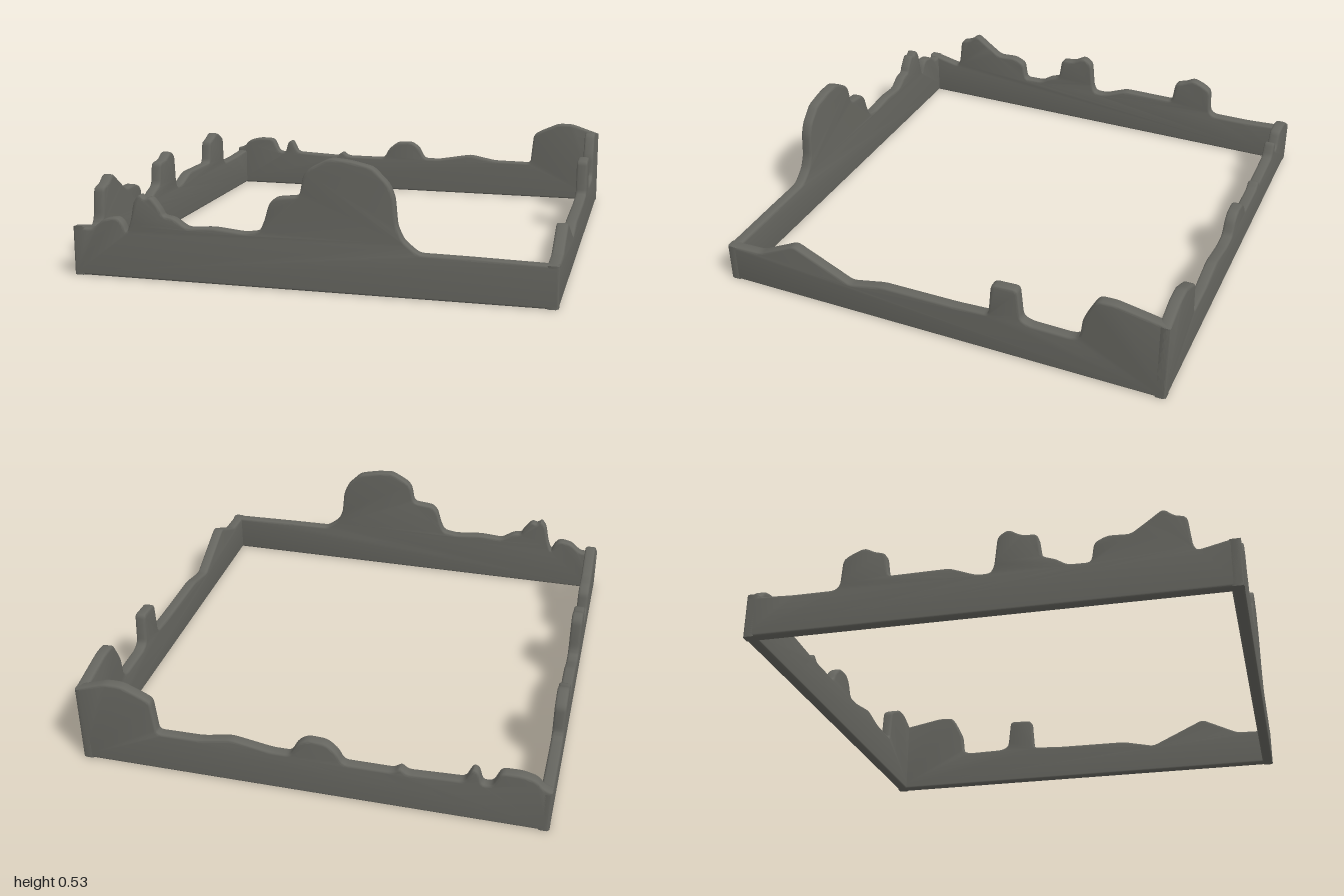
import * as THREE from 'three';
import { toCreasedNormals } from 'three/addons/utils/BufferGeometryUtils.js';

const THICK = 0.049, BEVEL = 0.01;

// Closed outline under a skyline, with each skyline corner slightly rounded
function skylineShape(pts) {
  const p = pts.map(([u, y]) => new THREE.Vector2(u, y));
  const n = p.length;
  const s = new THREE.Shape();
  s.moveTo(p[0].x, 0);
  s.lineTo(p[n - 1].x, 0);
  s.lineTo(p[n - 1].x, p[n - 1].y);
  for (let i = n - 2; i > 0; i--) {
    const toward = (q) => {
      const d = q.clone().sub(p[i]);
      const len = d.length();
      return p[i].clone().addScaledVector(d, Math.min(0.02, len * 0.4) / len);
    };
    const a = toward(p[i + 1]), b = toward(p[i - 1]);
    s.lineTo(a.x, a.y);
    s.quadraticCurveTo(p[i].x, p[i].y, b.x, b.y);
  }
  s.lineTo(p[0].x, p[0].y);
  s.closePath();
  return s;
}

// Upright plate with softened edges, centred on its thickness
function wallGeometry(pts) {
  const depth = THICK - 2 * BEVEL;
  const g = new THREE.ExtrudeGeometry(skylineShape(pts), {
    depth, curveSegments: 3, bevelEnabled: true, bevelSegments: 3,
    bevelThickness: BEVEL, bevelSize: BEVEL, bevelOffset: -BEVEL,
  });
  g.translate(0, 0, -depth / 2);
  return toCreasedNormals(g, 0.7);
}

// Skylines as [position along wall, height]
const front = [
  [-0.985, 0.2], [-0.9, 0.195], [-0.85, 0.24], [-0.79, 0.25], [-0.765, 0.225],
  [-0.75, 0.185], [-0.73, 0.24], [-0.715, 0.32], [-0.69, 0.352], [-0.67, 0.33],
  [-0.64, 0.342], [-0.6, 0.29], [-0.59, 0.265], [-0.55, 0.262], [-0.49, 0.222],
  [-0.38, 0.23], [-0.25, 0.217], [-0.185, 0.227], [-0.165, 0.27], [-0.145, 0.34],
  [-0.12, 0.367], [-0.02, 0.378], [-0.005, 0.46], [0.02, 0.49], [0.1, 0.532],
  [0.18, 0.525], [0.27, 0.505], [0.335, 0.44], [0.355, 0.39], [0.365, 0.28],
  [0.39, 0.225], [0.45, 0.177], [0.64, 0.175], [0.985, 0.168],
];
const back = [
  [-0.985, 0.19], [-0.95, 0.2], [-0.92, 0.235], [-0.86, 0.25], [-0.78, 0.248],
  [-0.75, 0.18], [-0.71, 0.175], [-0.695, 0.235], [-0.67, 0.245], [-0.64, 0.18],
  [-0.41, 0.17], [-0.385, 0.195], [-0.355, 0.17], [-0.15, 0.17], [-0.125, 0.22],
  [-0.08, 0.258], [0.0, 0.262], [0.04, 0.235], [0.07, 0.175], [0.15, 0.175],
  [0.32, 0.205], [0.45, 0.18], [0.64, 0.178], [0.655, 0.33], [0.69, 0.35],
  [0.78, 0.39], [0.85, 0.39], [0.985, 0.345],
];
const plusX = [
  [-0.995, 0.345], [-0.93, 0.358], [-0.77, 0.388], [-0.7, 0.385], [-0.67, 0.33],
  [-0.645, 0.28], [-0.635, 0.19], [-0.6, 0.175], [-0.42, 0.178], [-0.385, 0.195],
  [-0.372, 0.335], [-0.258, 0.33], [-0.245, 0.178], [-0.1, 0.17], [0.24, 0.168],
  [0.395, 0.135], [0.655, 0.256], [0.83, 0.172], [0.995, 0.168],
];
const minusX = [
  [-0.995, 0.18], [-0.8, 0.17], [-0.62, 0.17], [-0.597, 0.19], [-0.59, 0.305],
  [-0.55, 0.33], [-0.5, 0.35], [-0.455, 0.325], [-0.41, 0.315], [-0.395, 0.21],
  [-0.14, 0.212], [-0.03, 0.17], [0.025, 0.17], [0.04, 0.2], [0.052, 0.33],
  [0.095, 0.358], [0.15, 0.325], [0.215, 0.322], [0.23, 0.22], [0.29, 0.2],
  [0.33, 0.172], [0.425, 0.17], [0.437, 0.255], [0.49, 0.28], [0.58, 0.275],
  [0.65, 0.325], [0.71, 0.37], [0.75, 0.335], [0.8, 0.325], [0.815, 0.2],
  [0.83, 0.172], [0.95, 0.2], [0.995, 0.205],
];

export function createModel() {
  const group = new THREE.Group();
  group.name = 'skylineFrame';
  const stone = new THREE.MeshStandardMaterial({ color: 0x65655f });
  stone.name = 'darkGrey';

  const addWall = (name, pts, x, z, alongZ) => {
    const wall = new THREE.Mesh(wallGeometry(pts), stone);
    wall.name = name;
    if (alongZ) wall.rotation.y = -Math.PI / 2;
    wall.position.set(x, 0, z);
    group.add(wall);
  };

  const zWall = 0.995 - THICK / 2, xWall = 0.985 - THICK / 2;
  addWall('frontWall', front, 0, zWall, false);
  addWall('backWall', back, 0, -zWall, false);
  addWall('leftWall', plusX, xWall, 0, true);
  addWall('rightWall', minusX, -xWall, 0, true);
  return group;
}
